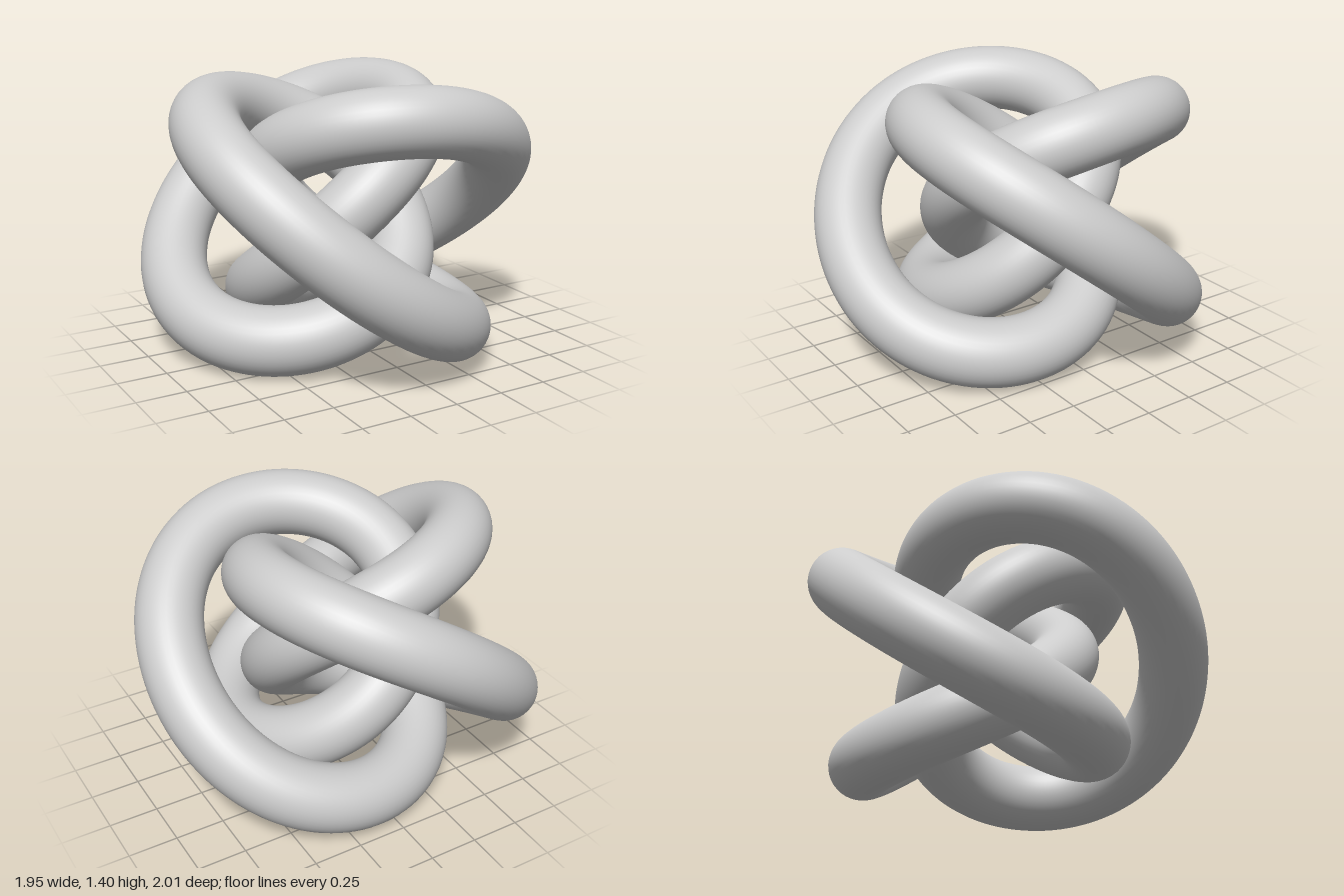
import * as THREE from 'three';

// Closed knot path: four turns about the upright axis while it
// swings in and out, up and down, three times.
class KnotCurve extends THREE.Curve {
  getPoint(u, target = new THREE.Vector3()) {
    const turn = 8 * Math.PI * u;
    const swing = 6 * Math.PI * u;
    // distance of the tangent line from the axis, and its rate of change
    const h = 0.545 + 0.268 * Math.cos(swing) + 0.06 * Math.cos(2 * swing);
    const dh = -0.75 * (0.268 * Math.sin(swing) + 0.12 * Math.sin(2 * swing));
    return target.set(
      -0.069 + h * Math.cos(turn) - dh * Math.sin(turn),
      0.7 + 0.521 * Math.sin(swing) + 0.048 * Math.sin(2 * swing),
      h * Math.sin(turn) + dh * Math.cos(turn)
    );
  }
}

export function createModel() {
  const group = new THREE.Group();
  group.name = 'knot';

  // One round tube swept along the whole path
  const curve = new KnotCurve();
  curve.arcLengthDivisions = 1200;
  const tube = new THREE.Mesh(
    new THREE.TubeGeometry(curve, 480, 0.17, 40, true),
    new THREE.MeshStandardMaterial({ color: 0xcccccc })
  );
  tube.name = 'knotTube';
  group.add(tube);
  return group;
}
